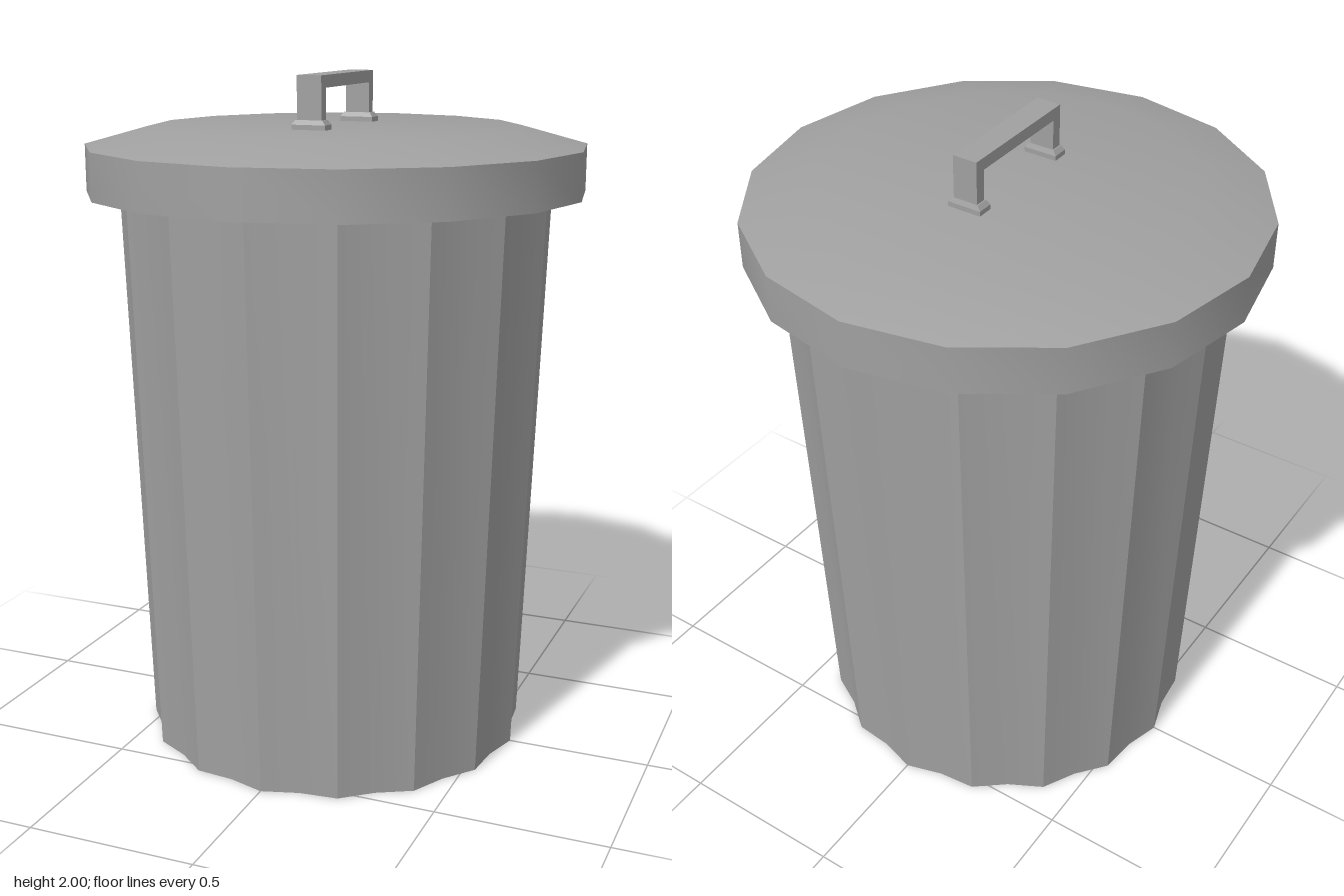
import * as THREE from 'three';
import { toCreasedNormals } from 'three/addons/utils/BufferGeometryUtils.js';

const SIDES = 16;
const LID_TOP = 1.85;

function part(name, geometry) {
  const mesh = new THREE.Mesh(geometry, new THREE.MeshStandardMaterial({ color: 0xa0a0a0 }));
  mesh.name = name;
  return mesh;
}

function turned(profile, segments) {
  return new THREE.LatheGeometry(profile.map(([r, y]) => new THREE.Vector2(r, y)), segments);
}

// Tapering body: each of the sixteen panels is slightly hollowed along its middle
function createBody() {
  const profile = [[0, 0.035], [0.555, 0.035], [0.553, 0], [0.577, 0], [0.64, 1.78]];
  const geometry = turned(profile, SIDES * 2);
  const pos = geometry.attributes.position;
  for (let i = 0; i < pos.count; i++) {
    const column = Math.floor(i / profile.length);
    if (column % 2) {
      pos.setX(i, pos.getX(i) * 0.962);
      pos.setZ(i, pos.getZ(i) * 0.962);
    }
  }
  return part('body', toCreasedNormals(geometry, 0.35));
}

// Hollow-rimmed lid with a shallow raised top
function createLid() {
  const geometry = turned([
    [0, 1.77], [0.705, 1.77], [0.705, 1.66], [0.733, 1.66],
    [0.733, 1.797], [0.54, LID_TOP], [0, LID_TOP],
  ], SIDES);
  return part('lid', toCreasedNormals(geometry, 0.6));
}

// Box whose top is narrowed by a factor
function taperedBox(w, h, d, taper) {
  const geometry = new THREE.BoxGeometry(w, h, d);
  const pos = geometry.attributes.position;
  for (let i = 0; i < pos.count; i++) {
    if (pos.getY(i) > 0) {
      pos.setX(i, pos.getX(i) * taper);
      pos.setZ(i, pos.getZ(i) * taper);
    }
  }
  geometry.computeVertexNormals();
  return geometry;
}

function createHandle() {
  const handle = new THREE.Group();
  handle.name = 'lidHandle';

  // Squared arch, drawn in profile and extruded across its width
  const arch = new THREE.Shape([
    [-0.2, LID_TOP], [-0.167, LID_TOP], [-0.167, 1.965], [0.167, 1.965],
    [0.167, LID_TOP], [0.2, LID_TOP], [0.2, 2], [-0.2, 2],
  ].map(([x, y]) => new THREE.Vector2(x, y)));
  const geometry = new THREE.ExtrudeGeometry(arch, { depth: 0.074, bevelEnabled: false });
  geometry.translate(0, 0, -0.037).rotateY(Math.PI / 2);
  handle.add(part('grip', geometry));

  // Flared feet
  for (const side of [-1, 1]) {
    const base = part('footBase', new THREE.BoxGeometry(0.102, 0.014, 0.048));
    base.position.set(0, LID_TOP + 0.007, side * 0.183);
    const collar = part('footCollar', taperedBox(0.102, 0.013, 0.048, 0.8));
    collar.position.set(0, LID_TOP + 0.0205, side * 0.183);
    handle.add(base, collar);
  }
  return handle;
}

export function createModel() {
  const model = new THREE.Group();
  model.name = 'trashCan';
  model.add(createBody(), createLid(), createHandle());
  return model;
}
